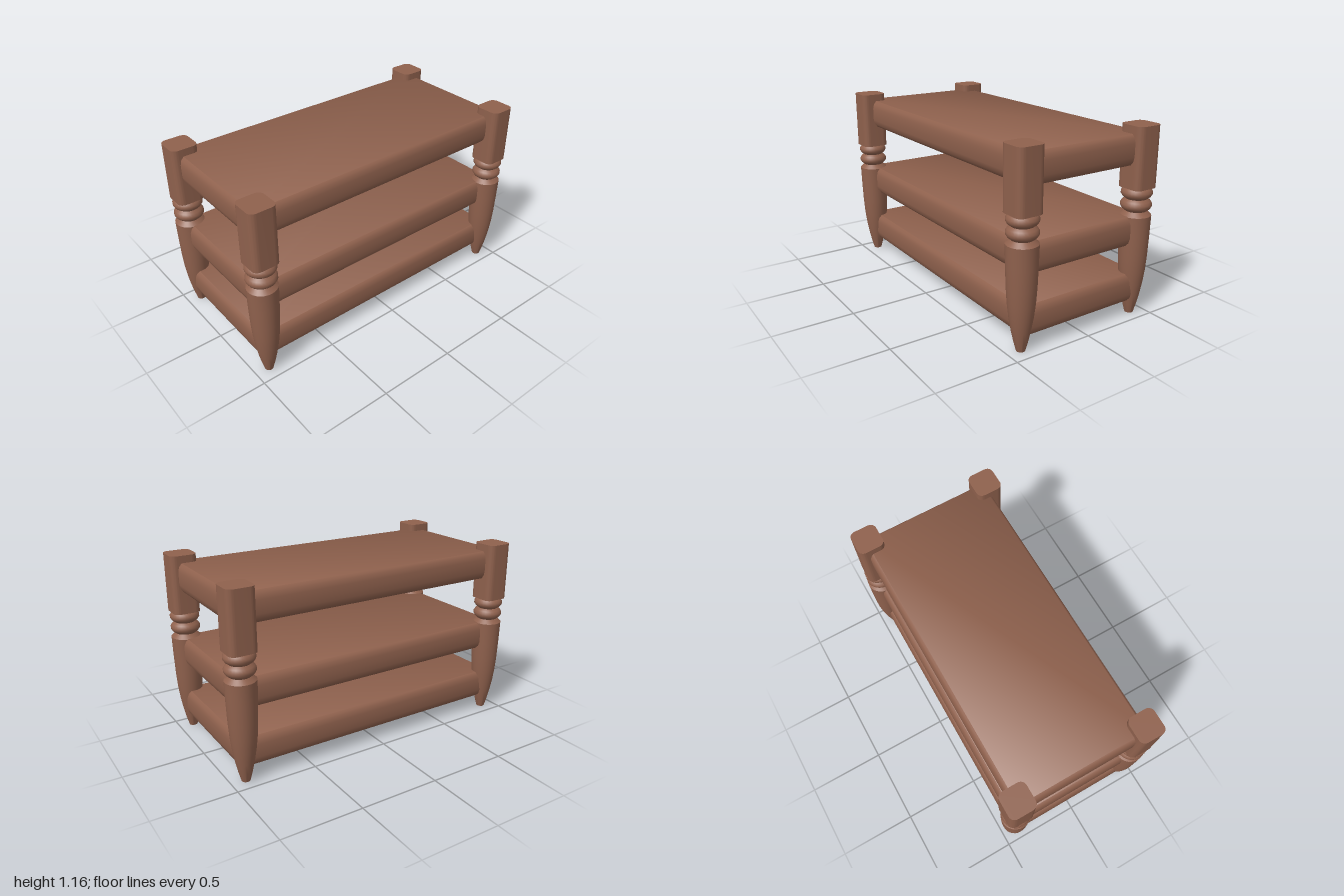
import * as THREE from 'three';
import { mergeVertices, toCreasedNormals } from 'three/addons/utils/BufferGeometryUtils.js';

const LEG_X = 0.908, LEG_Z = 0.411;

// Board with softly rounded edges: a box whose height rows are drawn inward.
function boardGeometry(width, height, depth) {
  const rows = [[-0.09, 0.025], [-0.07, 0.008], [-0.04, 0], [0.04, 0], [0.07, 0.008], [0.09, 0.025]];
  let geo = new THREE.BoxGeometry(width, height, depth, 1, rows.length - 1, 1);
  const p = geo.attributes.position;
  for (let i = 0; i < p.count; i++) {
    const row = Math.round((p.getY(i) / height + 0.5) * (rows.length - 1));
    const [y, inset] = rows[row];
    p.setXYZ(i, p.getX(i) - Math.sign(p.getX(i)) * inset, y, p.getZ(i) - Math.sign(p.getZ(i)) * inset);
  }
  geo.deleteAttribute('normal');
  geo.deleteAttribute('uv');
  geo = mergeVertices(geo);
  return toCreasedNormals(geo, 0.9);
}

// Square block with rounded vertical corners, standing on y = 0.
function blockGeometry(half, radius, height) {
  const s = new THREE.Shape();
  const k = half - radius;
  s.absarc(k, k, radius, 0, Math.PI / 2);
  s.absarc(-k, k, radius, Math.PI / 2, Math.PI);
  s.absarc(-k, -k, radius, Math.PI, Math.PI * 1.5);
  s.absarc(k, -k, radius, Math.PI * 1.5, Math.PI * 2);
  const geo = new THREE.ExtrudeGeometry(s, { depth: height, bevelEnabled: false, curveSegments: 6 });
  geo.rotateX(-Math.PI / 2);
  return toCreasedNormals(geo, 0.7);
}

// Turned leg: tapered foot, shoulder and two rings.
function turnedGeometry() {
  const profile = [
    [0, 0], [0.026, 0], [0.042, 0.06], [0.056, 0.125], [0.069, 0.2], [0.079, 0.285],
    [0.085, 0.38], [0.089, 0.5], [0.092, 0.63], [0.064, 0.655],
    [0.082, 0.67], [0.091, 0.685], [0.091, 0.7], [0.082, 0.715], [0.064, 0.729],
    [0.082, 0.743], [0.091, 0.758], [0.091, 0.773], [0.082, 0.787], [0.066, 0.8], [0, 0.8],
  ].map(([r, y]) => new THREE.Vector2(r, y));
  return toCreasedNormals(new THREE.LatheGeometry(profile, 28), 0.75);
}

export function createModel() {
  const model = new THREE.Group();
  model.name = 'shelfUnit';
  const wood = new THREE.MeshStandardMaterial({ color: 0x8f614d });
  wood.name = 'brownWood';

  const add = (parent, name, geometry, x, y, z) => {
    const mesh = new THREE.Mesh(geometry, wood);
    mesh.name = name;
    mesh.position.set(x, y, z);
    parent.add(mesh);
  };

  // Three shelves
  const board = boardGeometry(1.906, 0.18, 0.872);
  [['lowerShelf', 0.181], ['middleShelf', 0.543], ['topShelf', 1.029]]
    .forEach(([name, y]) => add(model, name, board, 0, y, -0.007));

  // Four corner legs
  const turned = turnedGeometry();
  const block = blockGeometry(0.084, 0.038, 0.368);
  for (const sx of [-1, 1]) {
    for (const sz of [-1, 1]) {
      const leg = new THREE.Group();
      leg.name = (sz > 0 ? 'front' : 'back') + (sx > 0 ? 'Left' : 'Right') + 'Leg';
      leg.position.set(sx * LEG_X, 0, sz * LEG_Z);
      add(leg, 'turnedLeg', turned, 0, 0, 0);
      add(leg, 'postBlock', block, 0, 0.797, 0);
      model.add(leg);
    }
  }
  return model;
}
